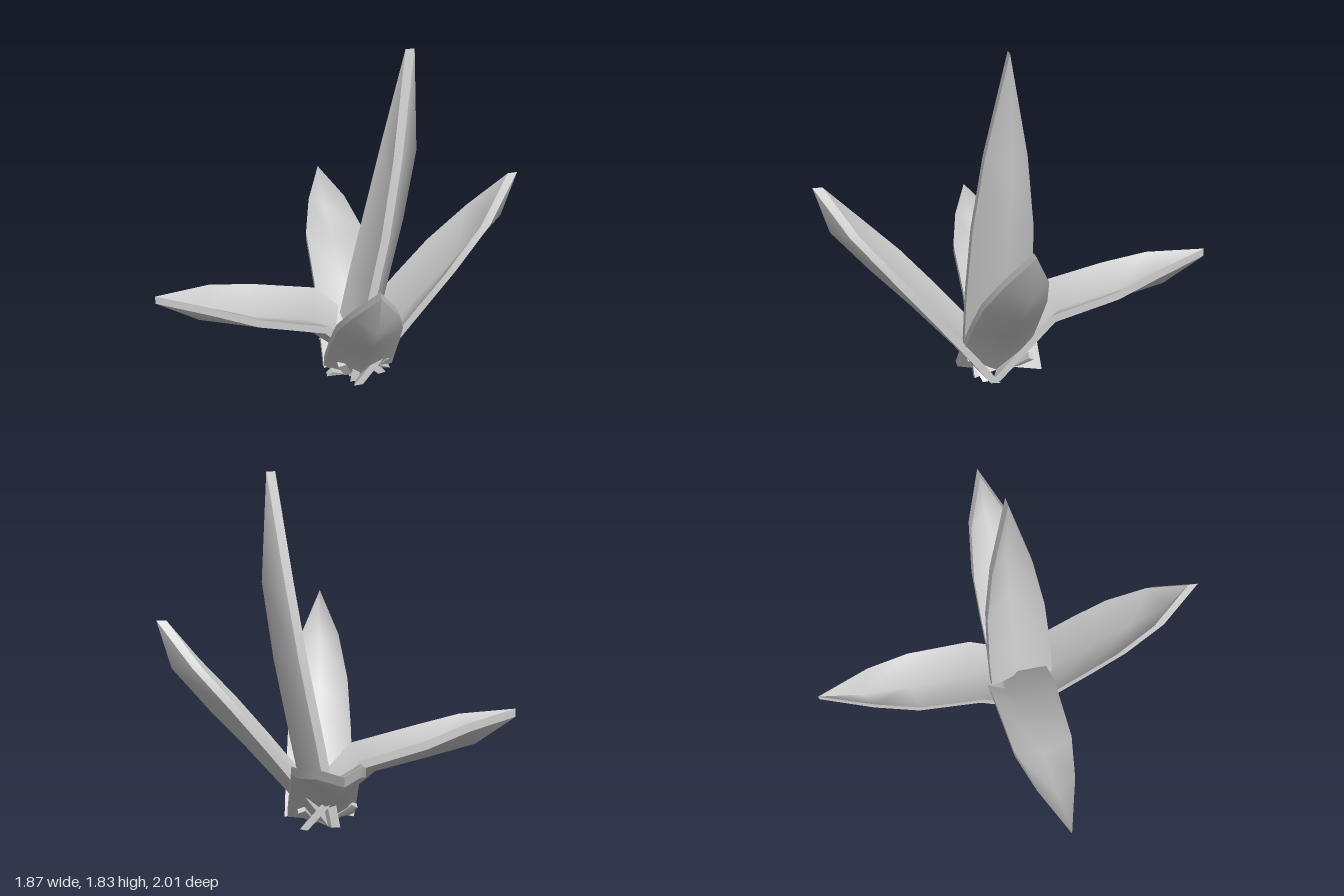
import * as THREE from 'three';
import { mergeGeometries } from 'three/addons/utils/BufferGeometryUtils.js';

const material = new THREE.MeshStandardMaterial({ color: 0xcccccc, side: THREE.DoubleSide });
const rad = THREE.MathUtils.degToRad;

// Smooth surface through rows of points
function skin(rows) {
  const n = rows[0].length, index = [];
  for (let i = 0; i < rows.length - 1; i++) {
    for (let j = 0; j < n - 1; j++) {
      const a = i * n + j, c = a + n;
      index.push(a, a + 1, c, a + 1, c + 1, c);
    }
  }
  const g = new THREE.BufferGeometry();
  g.setAttribute('position', new THREE.Float32BufferAttribute(rows.flat(2), 3));
  g.setIndex(index);
  g.computeVertexNormals();
  return g;
}

// Thick V-section leaf reaching out along +x.
// Station: inner edge (x, y), outer keel (x, y), half width, thickness offset (x, y)
function leafGeometry(stations) {
  const inner = [], outer = [], left = [], right = [];
  for (const [ex, ey, kx, ky, w, tx, ty] of stations) {
    const a = [[ex, ey, -w], [kx - tx, ky - ty, 0], [ex, ey, w]];
    const b = [[ex + tx, ey + ty, -w], [kx, ky, 0], [ex + tx, ey + ty, w]];
    inner.push(a);
    outer.push([...b].reverse());
    left.push([b[0], a[0]]);
    right.push([a[2], b[2]]);
  }
  const base = [[...outer[0]].reverse(), inner[0]];
  return mergeGeometries([inner, outer, left, right, base].map(skin));
}

const rising = leafGeometry([
  [0.04, 0, 0.18, 0, 0.185, 0.05, 0],
  [0.15, 0.15, 0.28, 0.14, 0.182, 0.05, 0],
  [0.36, 0.42, 0.50, 0.40, 0.172, 0.05, 0],
  [0.53, 0.63, 0.68, 0.60, 0.158, 0.05, 0],
  [0.72, 0.85, 0.87, 0.83, 0.108, 0.05, 0],
  [0.89, 1.08, 0.94, 1.08, 0, 0.05, 0],
]);
const drooping = leafGeometry([
  [-0.24, 0.01, -0.13, 0, 0.18, 0.04, -0.01],
  [0.07, 0.36, 0.18, 0.25, 0.175, 0.02, -0.04],
  [0.42, 0.45, 0.46, 0.315, 0.16, 0.01, -0.045],
  [0.65, 0.52, 0.72, 0.38, 0.105, 0.01, -0.045],
  [0.935, 0.565, 0.935, 0.52, 0, 0, -0.045],
]);
const upright = leafGeometry([
  [0.03, 0, 0.18, 0, 0.18, 0.045, 0],
  [0.11, 0.45, 0.27, 0.45, 0.175, 0.045, 0],
  [0.19, 0.87, 0.35, 0.87, 0.155, 0.045, 0],
  [0.255, 1.28, 0.405, 1.27, 0.105, 0.045, 0],
  [0.33, 1.825, 0.375, 1.825, 0, 0.045, 0],
]);

export function createModel() {
  const model = new THREE.Group();
  const add = (name, geometry, x, z, turn) => {
    const mesh = new THREE.Mesh(geometry, material);
    mesh.name = name;
    mesh.position.set(x, 0, z);
    mesh.rotation.y = rad(turn);
    model.add(mesh);
  };

  // Large leaves
  add('centreLeaf', upright, 0, 0.113, -0.5);
  add('leftLeaf', rising, 0, 0.145, 0);
  add('frontLeaf', rising, 0.12, 0.08, -99);
  add('rightLeaf', drooping, 0, 0.083, 178);
  add('backLeaf', drooping, 0.113, -0.066, 86.5);

  // Small shoots round the foot: x, z, sideways lean, forward lean, length
  const shoots = [
    [0.02, 0.24, 15, 22, 0.15], [0.08, 0.25, -32, 20, 0.15],
    [0.11, 0.25, -38, 18, 0.18], [0.22, 0.23, 40, 20, 0.09],
    [-0.03, 0.22, 50, 10, 0.05], [0.02, 0.05, 35, -25, 0.13], [0.18, 0.02, -25, -30, 0.12],
  ];
  for (const [x, z, side, forward, length] of shoots) {
    const g = new THREE.BoxGeometry(0.04, length + 0.05, 0.03).translate(0, length / 2 - 0.025, 0);
    g.rotateZ(rad(side)).rotateX(rad(forward));
    const p = g.attributes.position;
    for (let i = 0; i < p.count; i++) p.setY(i, Math.max(0, p.getY(i)));
    g.computeVertexNormals();
    add('shoot', g, x, z, 0);
  }
  return model;
}
